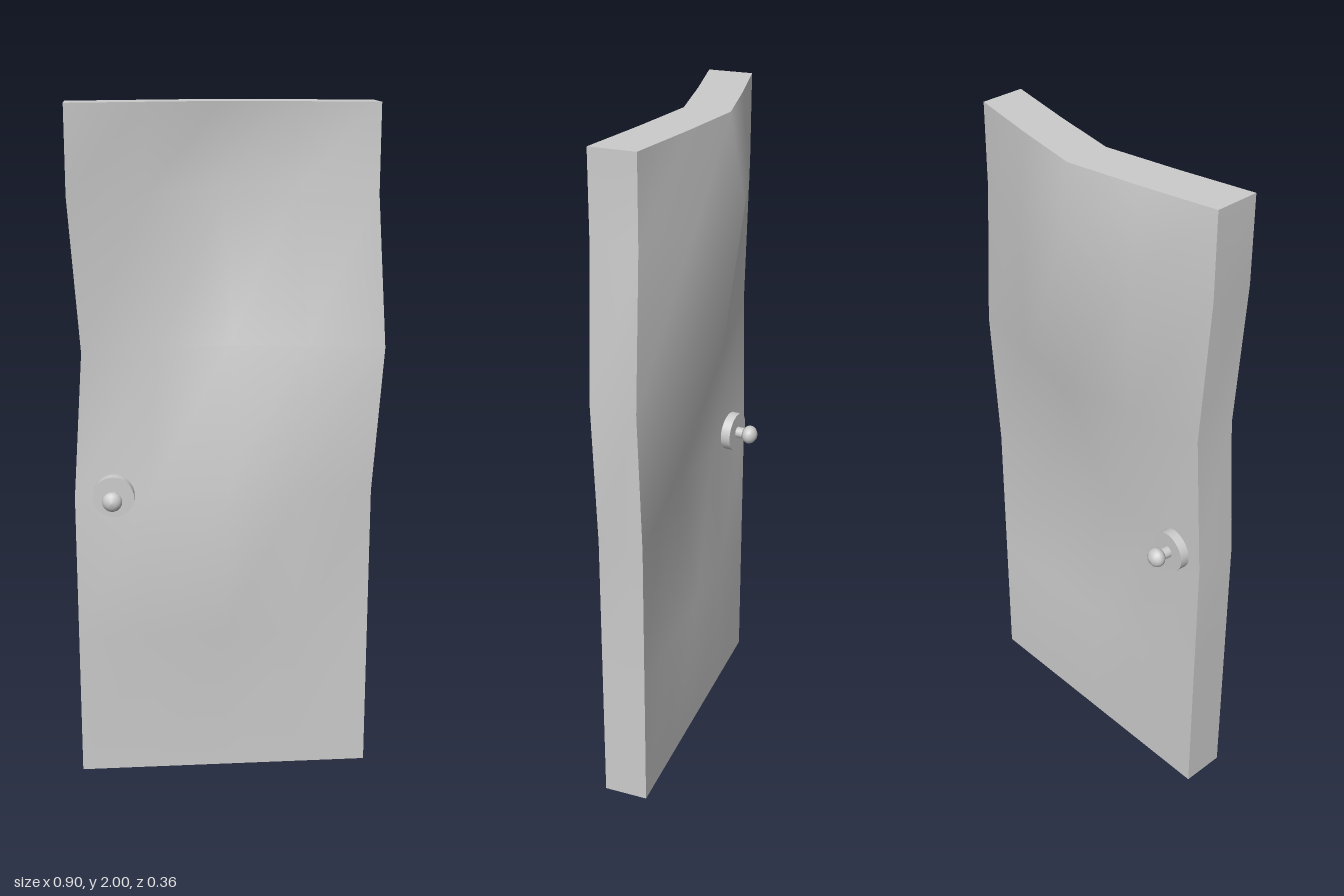
import * as THREE from 'three';

const material = new THREE.MeshStandardMaterial({ color: 0xcccccc });

// Rows of the warped slab: height, sideways shift, depth shift at centre and quarter columns
const ROWS = [
  { y: 0, dx: 0, mid: 0, quarter: 0 },
  { y: 0.44, dx: 0, mid: 0, quarter: 0 },
  { y: 0.88, dx: 0, mid: 0.05, quarter: 0.028 },
  { y: 1.31, dx: 0.03, mid: -0.08, quarter: -0.04 },
  { y: 1.75, dx: 0, mid: -0.13, quarter: -0.07 },
  { y: 2, dx: 0, mid: -0.086, quarter: -0.046 },
];

function createSlab() {
  const width = 0.872, rows = ROWS.length - 1;
  const geometry = new THREE.BoxGeometry(width, rows, 0.132, 4, rows, 1);
  const p = geometry.attributes.position;
  for (let i = 0; i < p.count; i++) {
    const row = ROWS[Math.round(p.getY(i) + rows / 2)];
    const column = Math.abs(Math.round(p.getX(i) / (width / 4)));
    const bend = [row.mid, row.quarter, 0][column];
    p.setXYZ(i, p.getX(i) - 0.018 + row.dx, row.y, p.getZ(i) + 0.014 + bend);
  }
  geometry.computeVertexNormals();
  const slab = new THREE.Mesh(geometry, material);
  slab.name = 'doorSlab';
  return slab;
}

function createKnob(name) {
  const knob = new THREE.Group();
  knob.name = name;
  const add = (part, geometry, z) => {
    const mesh = new THREE.Mesh(geometry.rotateX(Math.PI / 2), material);
    mesh.name = part;
    mesh.position.z = z;
    knob.add(mesh);
  };
  // Round backing plate, partly sunk into the slab
  add('rosette', new THREE.CylinderGeometry(0.06, 0.06, 0.034, 32), 0.003);
  add('stem', new THREE.CylinderGeometry(0.017, 0.017, 0.034, 16), 0.032);
  // Rounded grip with a blunt tip
  const profile = [[0, 0], [0.018, 0], [0.026, 0.008], [0.029, 0.017],
    [0.028, 0.025], [0.023, 0.034], [0.013, 0.041], [0, 0.043]];
  add('grip', new THREE.LatheGeometry(profile.map(([x, y]) => new THREE.Vector2(x, y)), 20), 0.043);
  return knob;
}

export function createModel() {
  const door = new THREE.Group();
  door.name = 'warpedDoor';
  door.add(createSlab());

  // Knobs on both sides follow the slope of the slab
  const front = createKnob('frontKnob');
  front.position.set(-0.34, 0.89, 0.096);
  front.rotation.y = -0.1;
  const back = createKnob('backKnob');
  back.position.set(-0.345, 0.89, -0.047);
  back.rotation.y = Math.PI - 0.1;
  door.add(front, back);
  return door;
}
